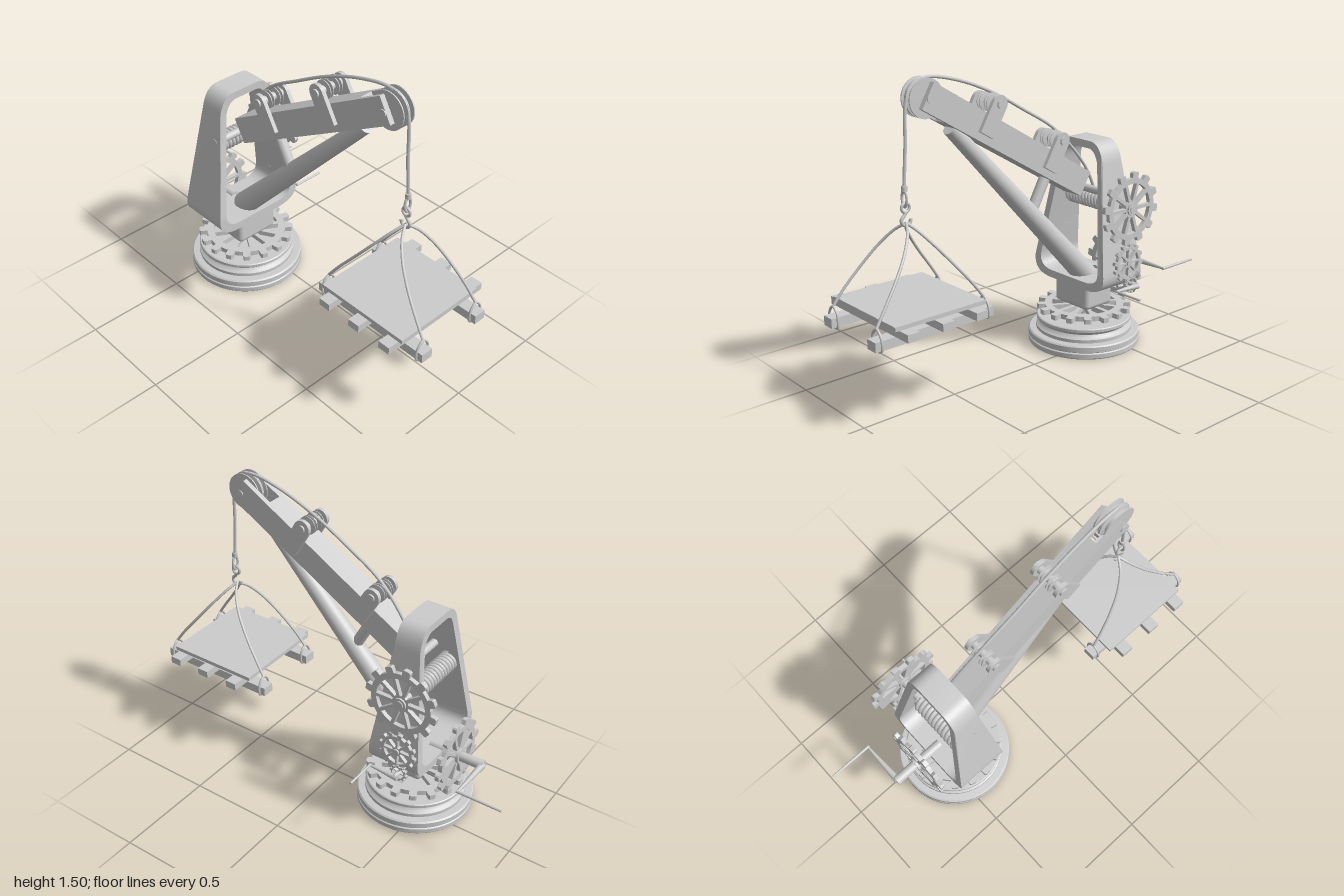
import * as THREE from 'three';
import { toCreasedNormals } from 'three/addons/utils/BufferGeometryUtils.js';
import { RoundedBoxGeometry } from 'three/addons/geometries/RoundedBoxGeometry.js';

const CX = -0.083; // centre plane of the crane
const mat = new THREE.MeshStandardMaterial({ color: 0xcccccc });
const V = (x, y, z) => new THREE.Vector3(x, y, z);

function add(parent, name, geo, x = 0, y = 0, z = 0) {
  const m = new THREE.Mesh(geo, mat);
  m.name = name;
  m.position.set(x, y, z);
  parent.add(m);
  return m;
}
const box = (p, name, w, h, d, x, y, z) => add(p, name, new THREE.BoxGeometry(w, h, d), x, y, z);

// Round bar from a to b
function rod(parent, name, a, b, ra, rb = ra, sides = 24) {
  const m = add(parent, name, new THREE.CylinderGeometry(rb, ra, a.distanceTo(b), sides));
  m.position.copy(a).lerp(b, 0.5);
  m.quaternion.setFromUnitVectors(V(0, 1, 0), b.clone().sub(a).normalize());
  return m;
}
const rope = (parent, name, pts, r = 0.007, seg = 60, closed = false) =>
  add(parent, name, new THREE.TubeGeometry(new THREE.CatmullRomCurve3(pts, closed), seg, r, 8, closed));

const lathe = (pts, seg = 48) =>
  toCreasedNormals(new THREE.LatheGeometry(pts.map(p => new THREE.Vector2(...p)), seg), 0.6);

// Spoked gear facing +z, with square teeth and windows between the spokes
function gearGeometry(r, teeth, spokes, thick) {
  const s = new THREE.Shape(), root = r * 0.84, step = Math.PI * 2 / teeth;
  for (let i = 0; i < teeth; i++) {
    [[0, root], [0.25, root], [0.5, root], [0.53, r * 0.97], [0.6, r], [0.87, r], [0.94, r * 0.97], [0.97, root]]
      .forEach(([f, q], k) => {
        const a = (i + f) * step;
        s[i + k ? 'lineTo' : 'moveTo'](q * Math.cos(a), q * Math.sin(a));
      });
  }
  const outer = r * 0.69, inner = r * 0.23, half = r * 0.045, sp = Math.PI * 2 / spokes;
  for (let i = 0; i < spokes; i++) {
    const h = new THREE.Path(), ao = Math.asin(half / outer), ai = Math.asin(half / inner);
    h.absarc(0, 0, outer, i * sp + ao, (i + 1) * sp - ao, false);
    h.absarc(0, 0, inner, (i + 1) * sp - ai, i * sp + ai, true);
    h.closePath();
    s.holes.push(h);
  }
  const g = new THREE.ExtrudeGeometry(s, { depth: thick, bevelEnabled: false, curveSegments: 6 });
  return g.translate(0, 0, -thick / 2);
}

// Grooved wheel turning on the x axis
function pulley(parent, name, r, w, x, y, z) {
  const h = w / 2;
  const g = lathe([[0, -h], [r, -h], [r, -h * 0.65], [r * 0.72, -h * 0.3], [r * 0.72, h * 0.3], [r, h * 0.65], [r, h], [0, h]], 40);
  return add(parent, name, g.rotateZ(Math.PI / 2), x, y, z);
}

// Rounded trapezoid outline of the upright frame
function loop(path, b, y0, cb, wb, yb, wt, yt, ct, t, y1) {
  path.moveTo(-b, y0);
  path.lineTo(b, y0);
  path.quadraticCurveTo(cb, y0, wb, yb);
  path.lineTo(wt, yt);
  path.quadraticCurveTo(ct, y1, t, y1);
  path.lineTo(-t, y1);
  path.quadraticCurveTo(-ct, y1, -wt, yt);
  path.lineTo(-wb, yb);
  path.quadraticCurveTo(-cb, y0, -b, y0);
  return path;
}

function buildBase(g) {
  add(g, 'turntableBase', lathe([[0, 0.05], [0.035, 0.05], [0.035, 0.08], [0.09, 0.08], [0.09, 0.1], [0.19, 0.1], [0.2, 0.05],
    [0.255, 0.05], [0.265, 0], [0.285, 0], [0.29, 0.006], [0.29, 0.028], [0.283, 0.033], [0.29, 0.038], [0.29, 0.065], [0.283, 0.071],
    [0.25, 0.073], [0.25, 0.09], [0.235, 0.098], [0.228, 0.11], [0.235, 0.122], [0.247, 0.128], [0.247, 0.142], [0.242, 0.146], [0, 0.146]], 64),
    CX, 0, -0.42);
  rod(g, 'centrePost', V(CX, 0.14, -0.42), V(CX, 0.22, -0.42), 0.03);
  add(g, 'turntableGear', gearGeometry(0.245, 16, 12, 0.026).rotateX(Math.PI / 2), CX, 0.186, -0.42);
  add(g, 'pedestal', new RoundedBoxGeometry(0.24, 0.14, 0.19, 3, 0.025), CX, 0.275, -0.415);
}

function buildFrame(g) {
  const s = loop(new THREE.Shape(), 0.13, 0.33, 0.275, 0.248, 0.45, 0.165, 0.97, 0.145, 0.07, 1.08);
  s.holes.push(loop(new THREE.Path(), 0.12, 0.37, 0.225, 0.208, 0.46, 0.128, 0.96, 0.112, 0.06, 1.042));
  const geo = new THREE.ExtrudeGeometry(s, { depth: 1, bevelEnabled: false, curveSegments: 10 });
  const p = geo.attributes.position;
  for (let i = 0; i < p.count; i++) { // narrower towards the top
    const t = THREE.MathUtils.clamp((p.getY(i) - 0.43) / 0.55, 0, 1);
    p.setZ(i, (p.getZ(i) - 0.5) * THREE.MathUtils.lerp(0.27, 0.13, t));
  }
  add(g, 'uprightFrame', toCreasedNormals(geo, 0.6), CX, 0, -0.44);
}

function buildBoom(g) {
  const b = new THREE.Group();
  b.name = 'boom';
  b.position.set(CX, 1.148, 0.1225);
  b.rotation.x = -0.533;
  g.add(b);
  box(b, 'boomBeam', 0.122, 0.13, 0.94, 0, 0, -0.09);
  for (const s of [-1, 1]) box(b, 'boomFork', 0.026, 0.13, 0.16, s * 0.048, 0, 0.458);
  for (const x of [-0.017, 0.017]) pulley(b, 'tipPulley', 0.09, 0.033, x, -0.008, 0.52);
  rod(b, 'tipAxle', V(-0.066, -0.008, 0.52), V(0.066, -0.008, 0.52), 0.018);
  // Guide rollers held by side plates
  const plate = new THREE.Shape();
  plate.moveTo(-0.042, -0.03);
  plate.lineTo(0.042, -0.03);
  plate.lineTo(0.042, 0.125);
  plate.absarc(0, 0.125, 0.042, 0, Math.PI, false);
  const plateGeo = new THREE.ExtrudeGeometry(plate, { depth: 0.02, bevelEnabled: false, curveSegments: 12 })
    .translate(0, 0, -0.01).rotateY(Math.PI / 2);
  for (const z of [0.165, -0.286]) {
    for (const s of [-1, 1]) {
      add(b, 'rollerPlate', plateGeo, s * 0.071, 0, z);
      pulley(b, 'rollerFlange', 0.045, 0.02, s * 0.026, 0.125, z);
    }
    rod(b, 'rollerPin', V(-0.09, 0.125, z), V(0.09, 0.125, z), 0.02);
  }
  rod(g, 'boomStrut', V(CX, 0.36, -0.42), V(CX, 1.25, 0.43), 0.06, 0.035, 32);
  rod(g, 'boomBrace', V(CX, 0.74, -0.04), V(CX, 0.95, -0.155), 0.028);
  rod(g, 'boomPivot', V(-0.27, 0.83, -0.4), V(0.1, 0.83, -0.4), 0.02);
}

function buildWinch(g) {
  const y = 0.755, z = -0.478;
  rod(g, 'winchDrum', V(-0.25, y, z), V(0.05, y, z), 0.036);
  rod(g, 'winchShaft', V(-0.27, y, z), V(0.2, y, z), 0.02);
  // Rope wound on the drum
  const coil = [];
  for (let i = 0; i <= 192; i++) {
    const a = i / 16 * Math.PI * 2;
    coil.push(V(-0.24 + 0.27 * i / 192, y + 0.04 * Math.cos(a), z + 0.04 * Math.sin(a)));
  }
  rope(g, 'ropeCoil', coil, 0.011, 240);
  add(g, 'winchGear', gearGeometry(0.187, 12, 10, 0.022).rotateY(Math.PI / 2), 0.175, y, z);
  rod(g, 'winchGearHub', V(0.155, y, z), V(0.195, y, z), 0.032);
  add(g, 'idlerGear', gearGeometry(0.1, 12, 8, 0.018).rotateY(Math.PI / 2), 0.178, 0.476, -0.468);
  rod(g, 'idlerShaft', V(0.12, 0.476, -0.468), V(0.195, 0.476, -0.468), 0.016);
  add(g, 'pinion', gearGeometry(0.045, 10, 5, 0.018).rotateY(Math.PI / 2), 0.185, 0.36, -0.485);
  // Side crank
  rod(g, 'sideCrankShaft', V(0.08, 0.36, -0.485), V(0.225, 0.36, -0.485), 0.012);
  rod(g, 'sideCrankArm', V(0.22, 0.355, -0.5), V(0.22, 0.362, -0.345), 0.015, 0.006, 12);
  rod(g, 'sideCrankGrip', V(0.215, 0.362, -0.348), V(0.38, 0.362, -0.348), 0.006, 0.006, 12);
  // Rear crank that drives the turntable
  add(g, 'slewGear', gearGeometry(0.187, 12, 10, 0.022), CX, 0.362, -0.64);
  rod(g, 'slewShaft', V(CX, 0.362, -0.5), V(CX, 0.362, -0.77), 0.024);
  rod(g, 'slewHub', V(CX, 0.362, -0.615), V(CX, 0.362, -0.665), 0.036);
  rod(g, 'rearCrankHub', V(CX, 0.362, -0.765), V(CX, 0.362, -0.785), 0.026);
  rod(g, 'rearCrankArm', V(CX, 0.362, -0.777), V(0.15, 0.362, -0.777), 0.018, 0.006, 12);
  rod(g, 'rearCrankGrip', V(0.145, 0.362, -0.77), V(0.145, 0.362, -1), 0.008, 0.006, 12);
}

function buildRigging(g) {
  rope(g, 'hoistRope', [V(-0.04, 0.79, -0.455), V(-0.05, 0.95, -0.38), V(-0.075, 1.155, -0.2), V(CX, 1.28, 0.0), V(CX, 1.385, 0.19),
    V(CX, 1.46, 0.38), V(CX, 1.492, 0.54), V(CX, 1.475, 0.62), V(CX, 1.41, 0.658), V(CX, 1.2, 0.672), V(CX, 1.03, 0.685)], 0.008, 100);
  rod(g, 'ropeClamp', V(CX, 1.005, 0.686), V(CX, 1.03, 0.685), 0.014);
  add(g, 'ropeEye', new THREE.TorusGeometry(0.018, 0.006, 8, 24).scale(1, 1.9, 1), CX, 0.972, 0.686);
  // Hook: closed eye above, open curl below
  add(g, 'hookEye', new THREE.TorusGeometry(0.021, 0.007, 8, 24).rotateY(Math.PI / 2), CX, 0.93, 0.682);
  rope(g, 'hook', [V(CX, 0.91, 0.678), V(CX, 0.895, 0.69), V(CX, 0.875, 0.706), V(CX, 0.855, 0.698), V(CX, 0.848, 0.678),
    V(CX, 0.858, 0.66), V(CX, 0.876, 0.656)], 0.008, 30);
  // Four sling ropes, each ending in a loop round a bearer end
  for (const sx of [-1, 1]) for (const sz of [-1, 1]) {
    const P = (x, y, z) => V(CX + sx * x, y, 0.68 + sz * z);
    rope(g, 'slingRope', [P(0, 0.86, 0), P(0.05, 0.825, 0.03), P(0.1, 0.755, 0.085), P(0.138, 0.66, 0.16), P(0.163, 0.56, 0.24), P(0.173, 0.49, 0.29)], 0.007, 40);
    rope(g, 'slingLoop', [P(0.174, 0.49, 0.29), P(0.145, 0.465, 0.29), P(0.138, 0.43, 0.29), P(0.145, 0.396, 0.29),
      P(0.205, 0.396, 0.29), P(0.212, 0.43, 0.29), P(0.202, 0.465, 0.29)], 0.006, 48, true);
  }
}

function buildPlatform(g) {
  box(g, 'platformBoard', 0.49, 0.02, 0.49, CX - 0.005, 0.493, 0.675);
  for (const z of [0.5, 0.685, 0.868]) box(g, 'platformSlat', 0.61, 0.037, 0.062, CX - 0.003, 0.464, z);
  for (const s of [-1, 1]) box(g, 'platformBearer', 0.063, 0.046, 0.64, CX + s * 0.175, 0.422, 0.68);
}

export function createModel() {
  const g = new THREE.Group();
  g.name = 'handCrane';
  [buildBase, buildFrame, buildBoom, buildWinch, buildRigging, buildPlatform].forEach(build => build(g));
  return g;
}
